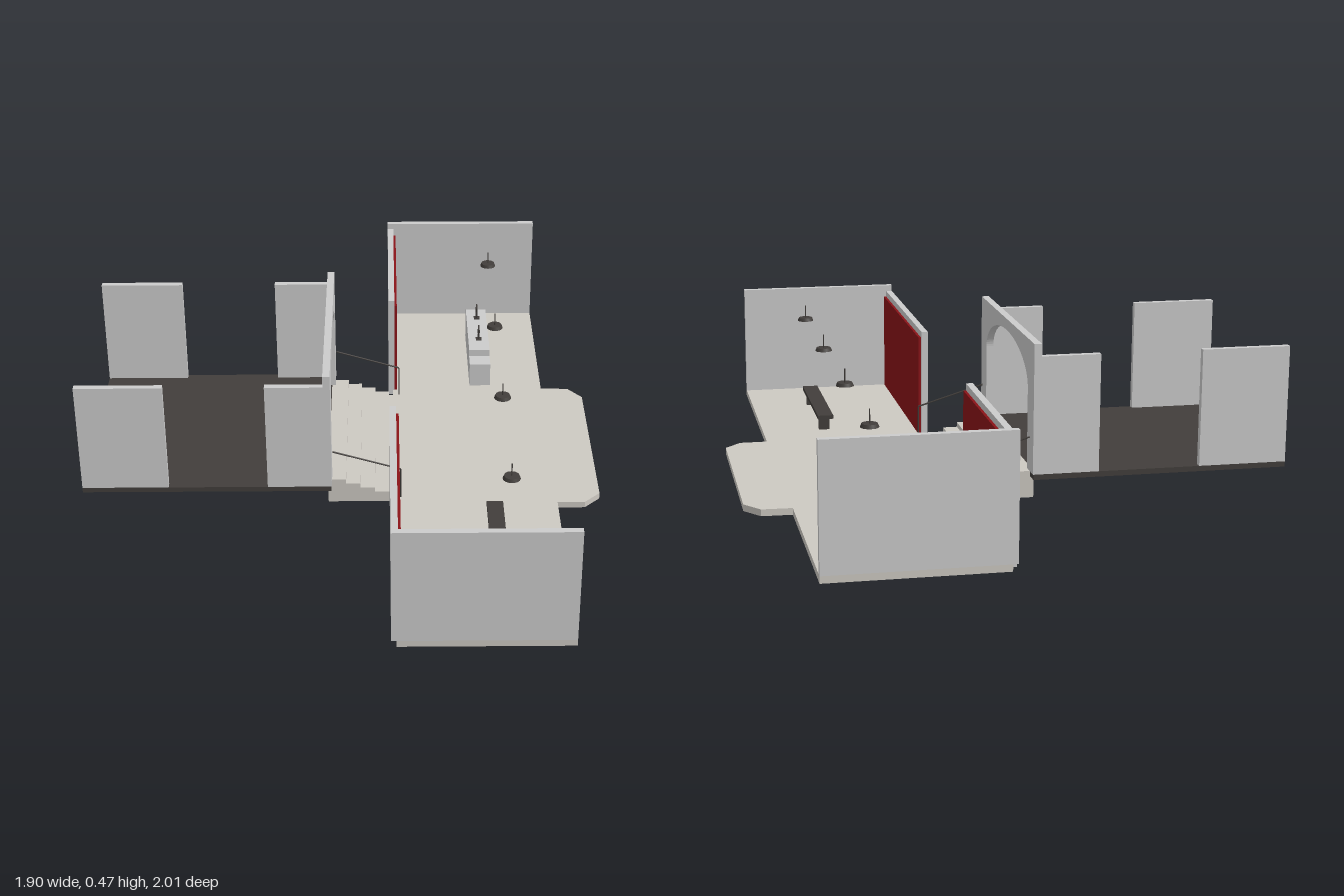
import * as THREE from 'three';

const grey = new THREE.MeshStandardMaterial({ color: 0xcccccc });
const stone = new THREE.MeshStandardMaterial({ color: 0xcdc9c2 });
const dark = new THREE.MeshStandardMaterial({ color: 0x423e3b });
const red = new THREE.MeshStandardMaterial({ color: 0x8a1318 });

export function createModel() {
  const model = new THREE.Group();
  model.name = 'foyer';
  // Everything is laid out square to the walls, then turned as one
  const plan = new THREE.Group();
  plan.name = 'plan';
  plan.rotation.y = -0.49;
  model.add(plan);

  const add = (name, geometry, material) => {
    const mesh = new THREE.Mesh(geometry, material);
    mesh.name = name;
    plan.add(mesh);
    return mesh;
  };
  // Box given by its limits on each axis
  const box = (name, [x0, x1], [y0, y1], [z0, z1], material = grey) => {
    const mesh = add(name, new THREE.BoxGeometry(x1 - x0, y1 - y0, z1 - z0), material);
    mesh.position.set((x0 + x1) / 2, (y0 + y1) / 2, (z0 + z1) / 2);
    return mesh;
  };
  // Thin round bar between two points
  const bar = (name, from, to, radius) => {
    const path = new THREE.LineCurve3(new THREE.Vector3(...from), new THREE.Vector3(...to));
    return add(name, new THREE.TubeGeometry(path, 1, radius, 6), dark);
  };

  // Foyer floor with the front bay and the tongue under the stairs
  const outline = [
    [-0.03, 0.88], [0.475, 0.88], [0.475, 0.177], [0.56, 0.177], [0.61, 0.127],
    [0.61, -0.475], [0.565, -0.532], [0.475, -0.535], [0.475, -1.118], [-0.03, -1.118],
    [-0.03, -0.495], [-0.235, -0.495], [-0.235, 0.135], [-0.03, 0.135],
  ].map(([x, z]) => new THREE.Vector2(x, z));
  const floor = new THREE.ExtrudeGeometry(new THREE.Shape(outline), { depth: 0.02, bevelEnabled: false });
  floor.rotateX(Math.PI / 2).translate(0, 0.02, 0);
  add('foyerFloor', floor, stone);

  // Foyer end walls, back walls and red wall panels
  box('frontEndWall', [-0.045, 0.475], [0.02, 0.38], [0.86, 0.88]);
  box('rearEndWall', [-0.045, 0.475], [0.02, 0.38], [-1.118, -1.098]);
  for (const [z0, z1] of [[0.165, 0.86], [-1.098, -0.53]]) {
    box('backWall', [-0.045, -0.025], [0.005, 0.36], [z0, z1]);
    box('redPanel', [-0.025, -0.017], [0.02, 0.34], [z0 + 0.012, z1 - 0.003], red);
  }

  // Stairs up to the raised room
  for (let i = 0; i < 4; i++) {
    const y = 0.02 + i * 0.015;
    box('step', [-0.235, -0.045 - i * 0.045], [y, y + 0.015], [-0.495, 0.135], stone);
  }

  // Raised room: dark floor and four short side walls
  box('raisedFloor', [-0.99, -0.225], [0.064, 0.08], [-0.535, 0.175], dark);
  for (const [z0, z1] of [[-0.535, -0.515], [0.155, 0.175]]) {
    box('sideWall', [-0.99, -0.725], [0.08, 0.43], [z0, z1]);
    box('sideWall', [-0.42, -0.245], [0.08, 0.43], [z0, z1]);
  }

  // Arched wall at the head of the stairs
  const arch = new THREE.Shape();
  arch.moveTo(0.175, 0.08);
  arch.lineTo(0.175, 0.467);
  arch.lineTo(-0.535, 0.467);
  arch.lineTo(-0.535, 0.08);
  arch.lineTo(-0.46, 0.08);
  arch.lineTo(-0.46, 0.32);
  arch.absellipse(-0.18, 0.32, 0.28, 0.113, Math.PI, 0, true);
  arch.lineTo(0.1, 0.08);
  const archGeometry = new THREE.ExtrudeGeometry(arch, { depth: 0.022, bevelEnabled: false, curveSegments: 24 });
  archGeometry.rotateY(-Math.PI / 2).translate(-0.223, 0, 0);
  add('archWall', archGeometry, grey);

  // Handrails, one each side of the stairs
  for (const z of [-0.502, 0.142]) {
    bar('handrail', [-0.22, 0.185, z], [-0.01, 0.122, z], 0.0025);
    bar('handrailPost', [-0.01, 0.122, z], [-0.01, 0.015, z], 0.0025);
  }

  // Bench
  box('benchSeat', [0.25, 0.3], [0.064, 0.076], [0.255, 0.66], dark);
  for (const z of [0.29, 0.615]) box('benchLeg', [0.258, 0.292], [0.02, 0.064], [z, z + 0.015], dark);

  // Reception desk with a low end and two screens
  box('desk', [0.232, 0.302], [0.02, 0.125], [-0.925, -0.62]);
  box('deskLowEnd', [0.232, 0.302], [0.02, 0.102], [-0.62, -0.56]);
  for (const z of [-0.698, -0.857]) {
    box('screenFoot', [0.258, 0.278], [0.125, 0.128], [z - 0.01, z + 0.01], dark);
    box('screenStand', [0.264, 0.269], [0.128, 0.145], [z - 0.003, z + 0.003], dark);
    box('screen', [0.265, 0.27], [0.14, 0.17], [z - 0.02, z + 0.02], dark);
  }

  // Row of hanging lamps
  for (let i = 0; i < 4; i++) {
    const z = 0.535 - i * 0.462;
    const lamp = add('lampShade', new THREE.CylinderGeometry(0.022, 0.026, 0.01, 24), dark);
    lamp.position.set(0.302, 0.339, z);
    bar('lampStem', [0.302, 0.34, z], [0.302, 0.385, z], 0.002);
  }

  return model;
}
